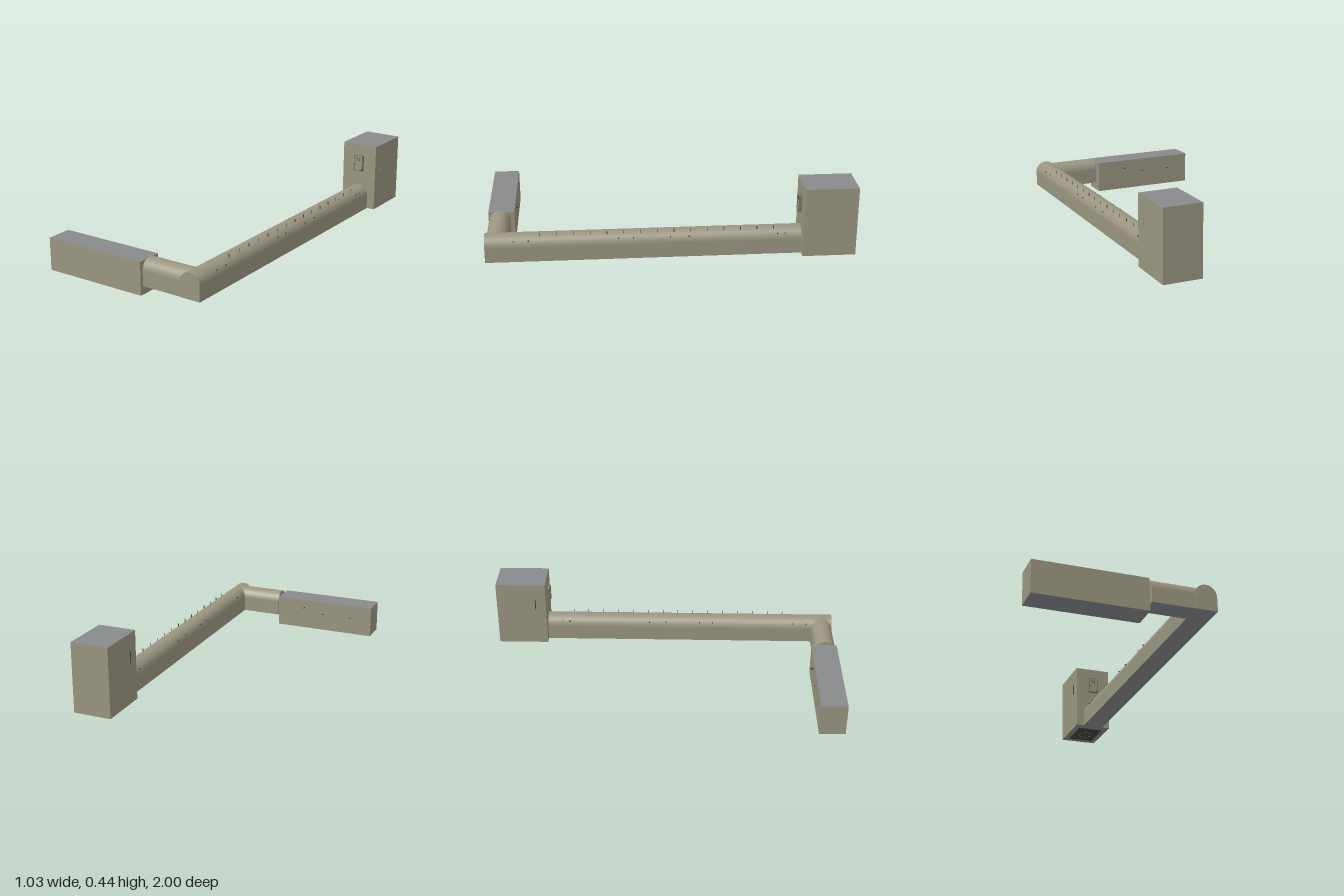
import * as THREE from 'three';

const mat = (name, color) => {
  const m = new THREE.MeshStandardMaterial({ color });
  m.name = name;
  return m;
};

export function createModel() {
  const root = new THREE.Group();
  root.name = 'tunnelComplex';
  const wall = mat('tanWall', 0x9a9580);
  const slab = mat('greyConcrete', 0x888a8c);
  const dark = mat('darkMetal', 0x45443c);
  const frame = mat('doorFrame', 0x7a765f);
  const glass = mat('blueGlass', 0x7d8899);

  const add = (name, geo, material, parent = root) => {
    const m = new THREE.Mesh(geo, material);
    m.name = name;
    parent.add(m);
    return m;
  };
  // box given by its minimum and maximum corners
  const box = (name, [x0, y0, z0], [x1, y1, z1], material, parent) => {
    const m = add(name, new THREE.BoxGeometry(x1 - x0, y1 - y0, z1 - z0), material, parent);
    m.position.set((x0 + x1) / 2, (y0 + y1) / 2, (z0 + z1) / 2);
    return m;
  };
  // tan walls with grey roof and floor
  const blockMaterials = [wall, wall, slab, slab, wall, wall];

  // Rooms
  box('lowRoom', [-0.515, 0, 0.85], [0.098, 0.183, 0.995], blockMaterials);
  box('tallRoom', [0.298, 0.055, -1], [0.512, 0.443, -0.71], blockMaterials);
  box('collar', [0.096, 0.055, 0.895], [0.112, 0.163, 0.96], blockMaterials);

  // Arched passages: straight walls under a half-round vault, with a grey floor
  const H = 0.06, SPRING = 0.137, FLOOR = 0.055;
  const passage = (name, length) => {
    const s = new THREE.Shape();
    s.moveTo(-H, FLOOR);
    s.lineTo(H, FLOOR);
    s.lineTo(H, SPRING);
    s.absarc(0, SPRING, H, 0, Math.PI, false);
    s.lineTo(-H, FLOOR);
    const geo = new THREE.ExtrudeGeometry(s, { depth: length, bevelEnabled: false, curveSegments: 24 });
    // smooth the vault only
    const p = geo.attributes.position, n = geo.attributes.normal;
    for (let i = 0; i < p.count; i++) {
      if (Math.abs(n.getZ(i)) < 0.5 && n.getY(i) > 0.01) {
        n.setXYZ(i, p.getX(i) / H, (p.getY(i) - SPRING) / H, 0);
      }
    }
    const g = new THREE.Group();
    g.name = name;
    add(name + 'Vault', geo, wall, g);
    box(name + 'Floor', [-H, FLOOR - 0.001, 0], [H, FLOOR + 0.001, length], slab, g);
    root.add(g);
    return g;
  };
  passage('longPassage', 1.704).position.set(0.405, 0, -0.71);
  const short = passage('shortPassage', 0.295);
  short.rotation.y = Math.PI / 2;
  short.position.set(0.11, 0, 0.931);

  // Door on the tall room
  const door = new THREE.Group();
  door.name = 'door';
  root.add(door);
  box('doorLeaf', [0.38, 0.286, -0.711], [0.43, 0.374, -0.696], wall, door);
  for (const x of [0.376, 0.43]) box('doorJamb', [x, 0.283, -0.711], [x + 0.004, 0.377, -0.693], frame, door);
  for (const y of [0.283, 0.374]) box('doorRail', [0.377, y, -0.711], [0.433, y + 0.003, -0.693], frame, door);
  box('doorWindow', [0.391, 0.346, -0.697], [0.42, 0.364, -0.695], glass, door);
  for (let i = 0; i < 5; i++) {
    const x = 0.394 + i * 0.0055;
    box('windowBar', [x, 0.346, -0.696], [x + 0.0012, 0.364, -0.694], dark, door);
  }
  box('doorHandle', [0.382, 0.318, -0.697], [0.386, 0.324, -0.692], dark, door);
  box('doorLatch', [0.424, 0.286, -0.697], [0.428, 0.296, -0.692], dark, door);

  // Slits on both sides of the tall room
  box('sideSlit', [0.295, 0.283, -0.774], [0.299, 0.345, -0.769], dark);
  box('sideSlit', [0.511, 0.283, -0.774], [0.514, 0.335, -0.769], wall);

  // Hatch under the tall room
  box('hatchPlate', [0.33, 0.0525, -0.96], [0.48, 0.0555, -0.76], dark);
  const ring = add('hatchRing', new THREE.TorusGeometry(0.04, 0.002, 6, 28), slab);
  ring.rotation.x = Math.PI / 2;
  ring.position.set(0.405, 0.053, -0.865);

  // Pins along the vault
  for (let i = 0; i < 15; i++) {
    const z = 0.7 - i * 0.09;
    box('roofPin', [0.433, 0.185, z - 0.0015], [0.436, 0.207, z + 0.0015], dark);
  }
  // Studs on the flanks of the vault
  for (const z of [0.84, 0.76, 0.28, 0.2, 0, -0.1, -0.58, -0.62]) {
    for (const side of [-1, 1]) {
      const x = 0.405 + side * 0.052;
      box('vaultStud', [x - 0.003, 0.167, z - 0.003], [x + 0.003, 0.173, z + 0.003], dark);
    }
  }
  // Fittings on the back of the low room
  box('backRod', [-0.08, 0.13, 0.832], [-0.074, 0.136, 0.851], dark);
  for (const x of [-0.2, -0.38]) box('backVent', [x - 0.008, 0.1, 0.847], [x + 0.008, 0.104, 0.851], dark);
  return root;
}
